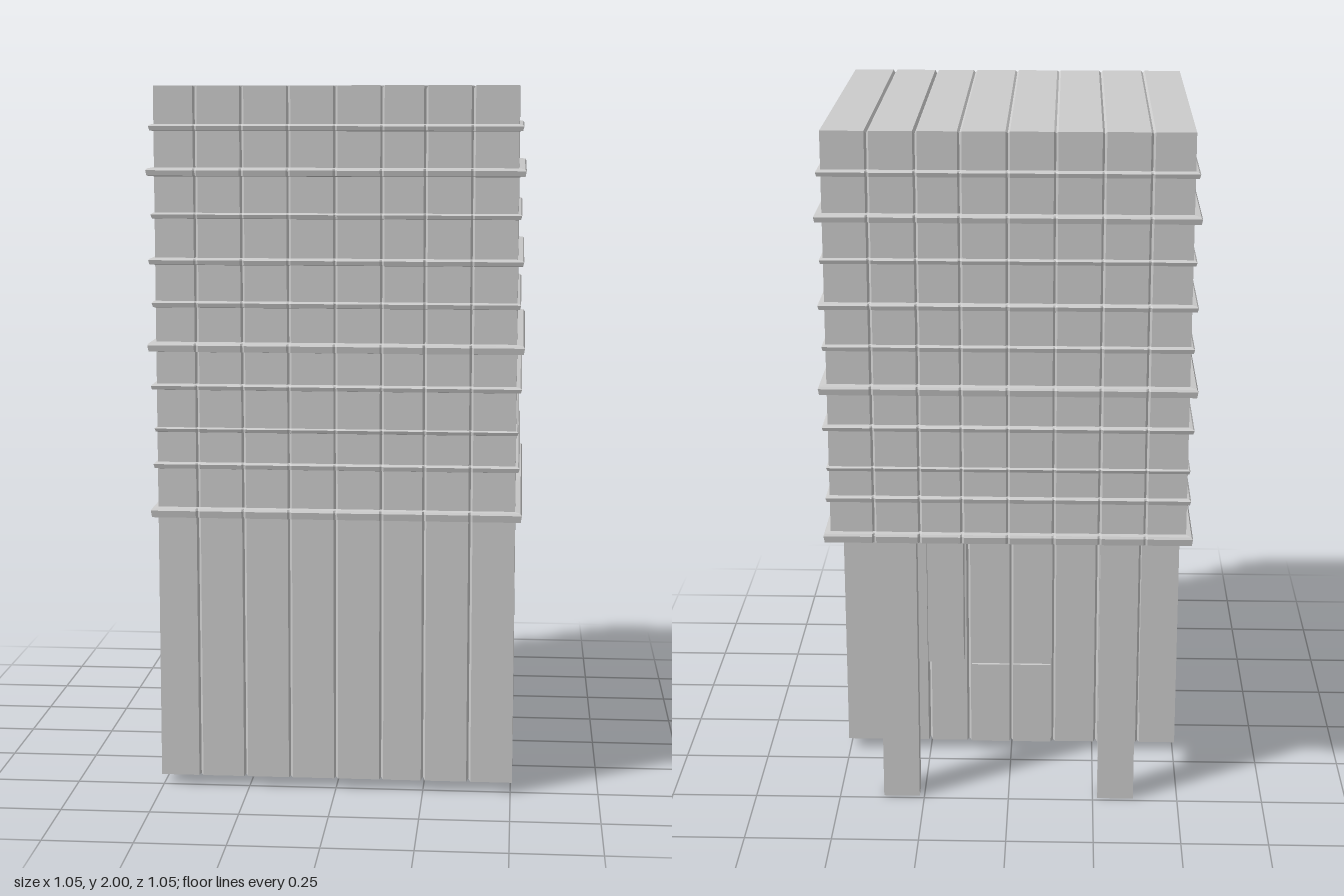
import * as THREE from 'three';

const material = new THREE.MeshStandardMaterial({ color: 0xcccccc, flatShading: true, side: THREE.DoubleSide });
const HALF = 0.505;
// Panel joints: [x, groove depth]
const JOINTS = [[-0.39, 0.005], [-0.26, 0.006], [-0.13, 0.004], [0, 0.005], [0.13, 0.006], [0.25, 0.009], [0.38, 0.008]];
const JOINT_HALF_WIDTH = 0.006;

// Skin a list of equal-length rings of [x, y, z]; capFan closes both ends with a fan from that corner
function loft(rings, capFan = -1) {
  const n = rings[0].length, index = [];
  for (let r = 0; r < rings.length - 1; r++) {
    for (let i = 0; i < n; i++) {
      const j = (i + 1) % n, a = r * n, b = a + n;
      index.push(a + i, a + j, b + j, a + i, b + j, b + i);
    }
  }
  if (capFan >= 0) {
    const last = (rings.length - 1) * n;
    for (let k = 1; k < n - 1; k++) {
      const p = (capFan + k) % n, q = (capFan + k + 1) % n;
      index.push(last + capFan, last + p, last + q, capFan, q, p);
    }
  }
  const geometry = new THREE.BufferGeometry();
  geometry.setAttribute('position', new THREE.Float32BufferAttribute(rings.flat(2), 3));
  geometry.setIndex(index);
  const flat = geometry.toNonIndexed();
  flat.computeVertexNormals();
  return flat;
}

// Side profile of the tower with its rear overhang, pulled inward by d
function bodyRing(x, d) {
  return [
    [x, 2 - d, -HALF + d], [x, 2 - d, HALF - d], [x, 0.03 + d, HALF - d],
    [x, 0.03 + d, -0.18 + d], [x, 0.82 + d, -0.18 + d], [x, 0.82 + d, -HALF + d],
  ];
}

function bodyGeometry() {
  const rings = [bodyRing(-HALF, 0)];
  for (const [x, depth] of JOINTS) {
    rings.push(bodyRing(x - JOINT_HALF_WIDTH, 0), bodyRing(x, depth), bodyRing(x + JOINT_HALF_WIDTH, 0));
  }
  rings.push(bodyRing(HALF, 0));
  return loft(rings, 4);
}

// Plan outline of a ledge, notched at the joints, rising toward the back by lift
function ledgeRing(out, y, lift) {
  const front = [[-out, out]];
  for (const [x, depth] of JOINTS) {
    front.push([x - JOINT_HALF_WIDTH, out], [x, out - depth], [x + JOINT_HALF_WIDTH, out]);
  }
  front.push([out, out]);
  const side = [];
  for (let i = 0; i <= 8; i++) side.push([out, 0.02 - i * 0.03]);
  const plan = [
    ...front, ...side,
    ...front.map(([x, z]) => [x, -z]).reverse(),
    ...side.map(([x, z]) => [-x, z]).reverse(),
  ];
  return plan.map(([x, z]) => [x, y + lift * THREE.MathUtils.smoothstep(-z, -0.02, 0.22), z]);
}

function ledgeGeometry(y, out, thickness, lift) {
  const h = thickness / 2, inner = HALF - 0.012;
  return loft([
    ledgeRing(inner, y - h - 0.004, lift),
    ledgeRing(out - 0.003, y - h, lift),
    ledgeRing(out, y + h * 0.5, lift),
    ledgeRing(out - 0.004, y + h, lift),
    ledgeRing(inner, y + h + 0.004, lift),
  ]);
}

function addBox(group, name, size, position) {
  const mesh = new THREE.Mesh(new THREE.BoxGeometry(...size), material);
  mesh.name = name;
  mesh.position.set(...position);
  group.add(mesh);
  return mesh;
}

export function createModel() {
  const model = new THREE.Group();
  model.name = 'towerBlock';

  const body = new THREE.Mesh(bodyGeometry(), material);
  body.name = 'panelledBody';
  model.add(body);

  // Floor ledges: height, reach, thickness, rise toward the back
  const ledges = new THREE.Group();
  ledges.name = 'floorLedges';
  [
    [0.803, 0.524, 0.026, 0.032], [0.938, 0.516, 0.016, 0.012], [1.04, 0.512, 0.012, 0],
    [1.162, 0.52, 0.014, 0], [1.275, 0.527, 0.024, 0], [1.395, 0.515, 0.016, 0],
    [1.515, 0.522, 0.016, 0], [1.642, 0.515, 0.014, 0], [1.763, 0.526, 0.02, 0], [1.885, 0.518, 0.016, 0],
  ].forEach((spec, i) => {
    const ledge = new THREE.Mesh(ledgeGeometry(...spec), material);
    ledge.name = `floorLedge${i + 1}`;
    ledges.add(ledge);
  });
  model.add(ledges);

  // Slightly leaning posts under the overhang
  for (const x of [-0.317, 0.317]) {
    const post = addBox(model, x < 0 ? 'rightPost' : 'leftPost', [0.106, 0.83, 0.058], [x, 0.415, -0.457]);
    const p = post.geometry.attributes.position;
    for (let i = 0; i < p.count; i++) p.setZ(i, p.getZ(i) + (p.getY(i) > 0 ? 0.004 : -0.002));
  }

  // Hanging piers, which stop short of the ground
  for (const [name, x, bottom] of [['rightHangingPier', -0.44, 0.21], ['leftHangingPier', 0.19, 0.37]]) {
    addBox(model, name, [0.106, 0.83 - bottom, 0.075], [x, (0.83 + bottom) / 2, -0.302]);
  }

  // Double door in the recessed back wall
  for (const x of [-0.063, 0.063]) {
    addBox(model, x < 0 ? 'rightDoor' : 'leftDoor', [0.116, 0.26, 0.02], [x, 0.162, -0.179]);
  }
  return model;
}
